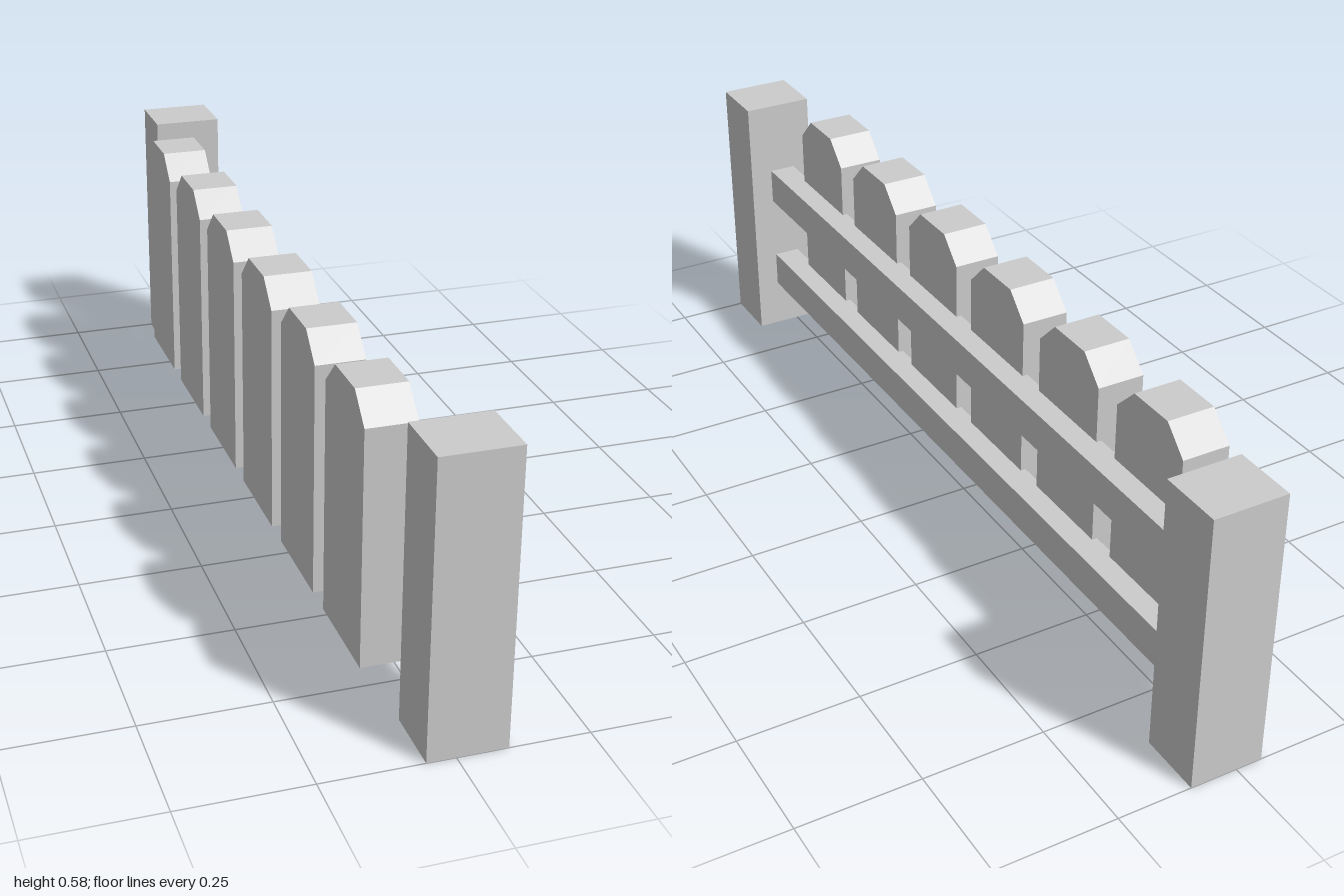
import * as THREE from 'three';

const material = new THREE.MeshStandardMaterial({ color: 0xcccccc, flatShading: true });

export function createModel() {
  const fence = new THREE.Group();
  fence.name = 'picketFence';

  const add = (name, geometry, x, y, z) => {
    const mesh = new THREE.Mesh(geometry, material);
    mesh.name = name;
    mesh.position.set(x, y, z);
    fence.add(mesh);
  };

  // End posts
  const postLength = 0.133, postHeight = 0.58;
  const post = new THREE.BoxGeometry(0.152, postHeight, postLength);
  for (const side of [1, -1]) {
    add(side > 0 ? 'frontPost' : 'backPost', post, 0.021, postHeight / 2, side * (1 - postLength / 2));
  }

  // Horizontal rails between the posts
  const rail = new THREE.BoxGeometry(0.058, 0.08, 1.736);
  add('lowerRail', rail, 0.018, 0.15, 0);
  add('upperRail', rail, 0.018, 0.375, 0);

  // Pickets with chamfered tops, profile drawn along z and extruded toward -x
  const half = 0.104, chamfer = 0.052, bottom = 0.06, top = 0.584;
  const profile = new THREE.Shape([
    [-half, bottom], [half, bottom], [half, top - chamfer],
    [half - chamfer, top], [chamfer - half, top], [-half, top - chamfer],
  ].map(([z, y]) => new THREE.Vector2(z, y)));
  const picket = new THREE.ExtrudeGeometry(profile, { depth: 0.098, bevelEnabled: false });
  picket.rotateY(-Math.PI / 2);
  const count = 6, spacing = 0.27;
  for (let i = 0; i < count; i++) {
    add('picket' + (i + 1), picket, 0, 0, (i - (count - 1) / 2) * spacing);
  }

  return fence;
}
